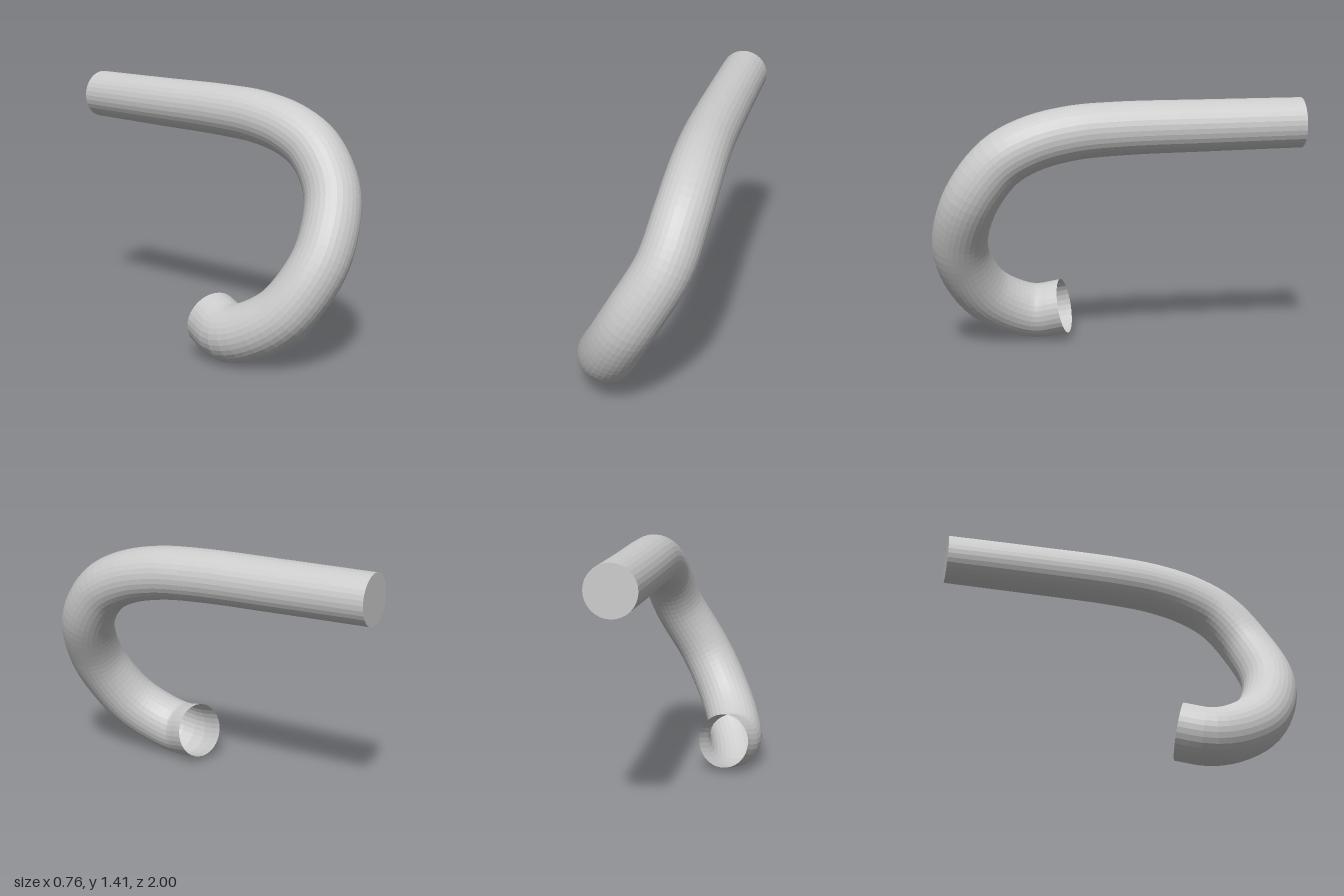
import * as THREE from 'three';

const SIDES = 32, STEPS = 72;
const R_BACK = 0.136, R_FRONT = 0.156;

export function createModel() {
  const group = new THREE.Group();
  group.name = 'bentPipe';
  const material = new THREE.MeshStandardMaterial({
    color: 0xcccccc, flatShading: true, side: THREE.DoubleSide,
  });

  // Centre line, from the closed back end round to the open hooked end
  const path = new THREE.CatmullRomCurve3([
    [0.195, 1.28, -1], [0.2, 1.273, -0.5], [0.212, 1.265, 0], [0.225, 1.247, 0.25],
    [0.232, 1.195, 0.465], [0.225, 1.1, 0.635], [0.178, 0.895, 0.785],
    [0.04, 0.64, 0.85], [-0.052, 0.475, 0.82], [-0.145, 0.3, 0.715],
    [-0.205, 0.195, 0.56], [-0.222, 0.157, 0.42], [-0.175, 0.19, 0.262],
  ].map(p => new THREE.Vector3(...p)));

  // Pipe wall: a tube widened gradually towards the open end
  const tube = new THREE.TubeGeometry(path, STEPS, 1, SIDES);
  const pos = tube.attributes.position, normal = tube.attributes.normal;
  const point = new THREE.Vector3(), offset = new THREE.Vector3();
  for (let i = 0; i <= STEPS; i++) {
    const t = i / STEPS;
    path.getPointAt(t, point);
    const radius = THREE.MathUtils.lerp(R_BACK, R_FRONT, Math.min(1, t * 1.15));
    for (let j = 0; j <= SIDES; j++) {
      const k = i * (SIDES + 1) + j;
      offset.fromBufferAttribute(normal, k).multiplyScalar(radius).add(point);
      pos.setXYZ(k, offset.x, offset.y, offset.z);
    }
  }
  const wall = new THREE.Mesh(tube, material);
  wall.name = 'pipeWall';
  group.add(wall);

  // Flat cap at the back, sharing the first ring of the wall
  const disc = new THREE.CircleGeometry(1, SIDES);
  const capPos = disc.attributes.position;
  path.getPointAt(0, point);
  capPos.setXYZ(0, point.x, point.y, point.z);
  for (let j = 0; j <= SIDES; j++) {
    capPos.setXYZ(j + 1, pos.getX(j), pos.getY(j), pos.getZ(j));
  }
  disc.computeVertexNormals();
  const cap = new THREE.Mesh(disc, material);
  cap.name = 'backCap';
  group.add(cap);

  return group;
}
